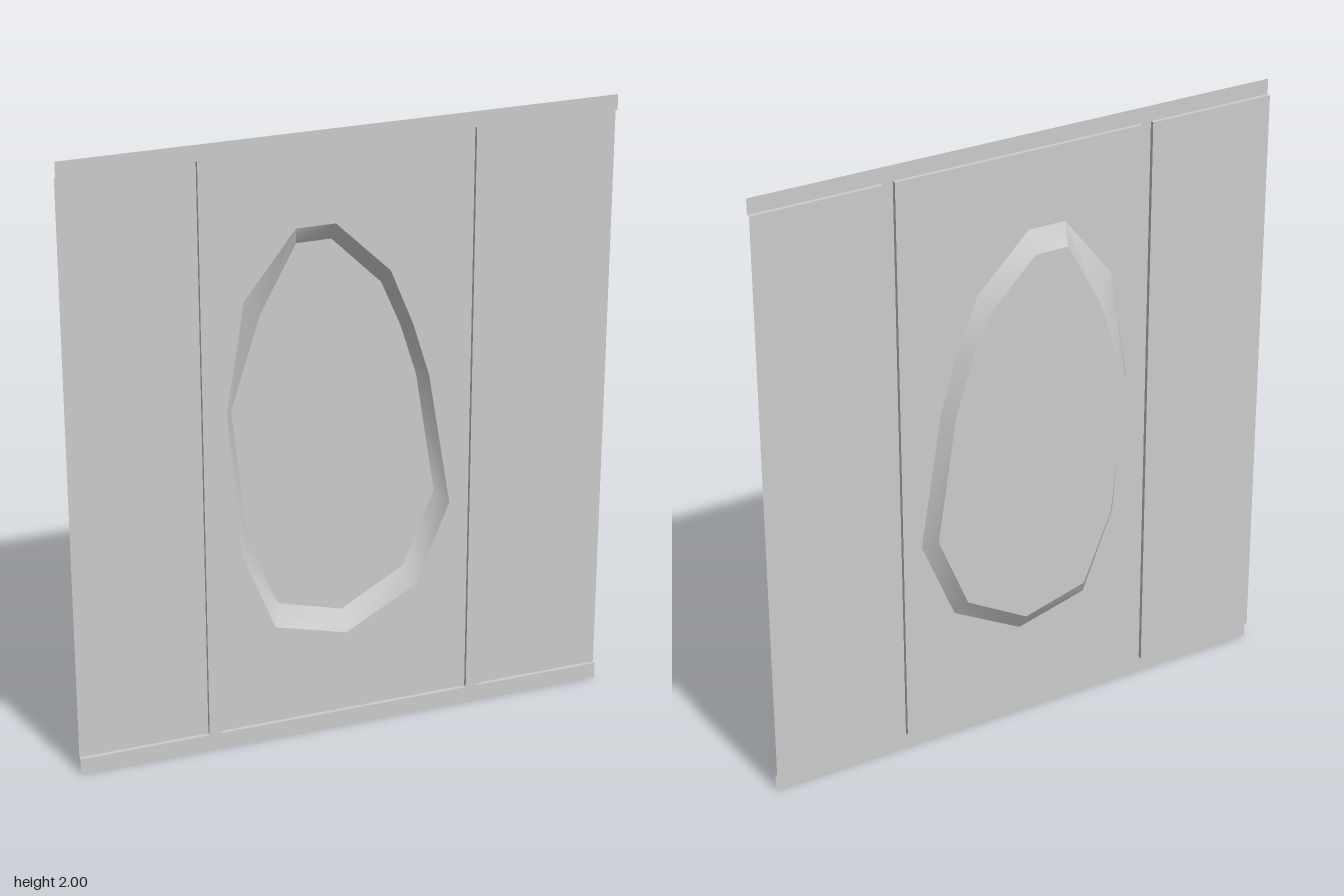
import * as THREE from 'three';
import { toCreasedNormals } from 'three/addons/utils/BufferGeometryUtils.js';

const W = 0.872, H = 2, SIDE_IN = 0.453, MID = 0.415, Y0 = 0.052, Y1 = 1.95;
const Z_FRAME = 0.028, Z_PANEL = 0.015, Z_DENT = -0.028;

const material = new THREE.MeshStandardMaterial({ color: 0xcccccc, side: THREE.DoubleSide });

// Irregular outline of the dent: rim on the panel, and the smaller floor (same corner order)
const RIM = [[-0.15, 1.7], [-0.025, 1.7], [0.15, 1.527], [0.225, 1.34], [0.278, 1.167], [0.352, 0.721],
  [0.241, 0.451], [0.008, 0.324], [-0.226, 0.387], [-0.331, 0.652], [-0.373, 1.135], [-0.315, 1.49]];
const FLOOR = [[-0.135, 1.637], [-0.024, 1.637], [0.136, 1.476], [0.2, 1.325], [0.252, 1.158], [0.316, 0.751],
  [0.216, 0.505], [0.008, 0.387], [-0.203, 0.446], [-0.3, 0.68], [-0.346, 1.125], [-0.252, 1.42]];

const points = (list) => list.map(([x, y]) => new THREE.Vector2(x, y));
const rect = (x0, x1, y0, y1) => [[x0, y0], [x1, y0], [x1, y1], [x0, y1]];

// Flat sheet facing +z with optional holes
function sheet(outline, z, holes = []) {
  const shape = new THREE.Shape(points(outline));
  holes.forEach((h) => shape.holes.push(new THREE.Path(points(h))));
  return new THREE.ShapeGeometry(shape).translate(0, 0, z);
}

// Band joining two outlines at two depths; outlines run clockwise seen from the front
function band(front, zFront, back, zBack, closed, crease = 0.1) {
  const pos = [];
  const count = front.length - (closed ? 0 : 1);
  for (let i = 0; i < count; i++) {
    const j = (i + 1) % front.length;
    const a = [...front[i], zFront], b = [...front[j], zFront];
    const c = [...back[j], zBack], d = [...back[i], zBack];
    pos.push(...a, ...d, ...b, ...b, ...d, ...c);
  }
  const geo = new THREE.BufferGeometry();
  geo.setAttribute('position', new THREE.Float32BufferAttribute(pos, 3));
  return toCreasedNormals(geo, crease);
}

export function createModel() {
  const model = new THREE.Group();
  const add = (name, geometry) => {
    const mesh = new THREE.Mesh(geometry, material);
    mesh.name = name;
    model.add(mesh);
  };

  // Raised frame: rails across the top and bottom, ribs between the panels
  add('bottomRail', sheet(rect(-W, W, 0, Y0), Z_FRAME));
  add('topRail', sheet(rect(-W, W, Y1, H), Z_FRAME));
  add('rightRib', sheet(rect(-SIDE_IN, -MID, Y0, Y1), Z_FRAME));
  add('leftRib', sheet(rect(MID, SIDE_IN, Y0, Y1), Z_FRAME));

  // Side panels, pressed back from the frame and open at the outer edge
  add('rightPanel', sheet(rect(-W, -SIDE_IN, Y0, Y1), Z_PANEL));
  add('leftPanel', sheet(rect(SIDE_IN, W, Y0, Y1), Z_PANEL));
  const rightStep = [[-W, Y1], [-SIDE_IN, Y1], [-SIDE_IN, Y0], [-W, Y0]];
  const leftStep = [[W, Y0], [SIDE_IN, Y0], [SIDE_IN, Y1], [W, Y1]];
  add('rightPanelStep', band(rightStep, Z_FRAME, rightStep, Z_PANEL, false));
  add('leftPanelStep', band(leftStep, Z_FRAME, leftStep, Z_PANEL, false));

  // Middle panel with an opening for the dent
  const middle = rect(-MID, MID, Y0, Y1);
  const middleStep = [...middle].reverse();
  add('middlePanel', sheet(middle, Z_PANEL, [RIM]));
  add('middlePanelStep', band(middleStep, Z_FRAME, middleStep, Z_PANEL, true));

  // Faceted dent pushed towards the back
  add('dentWall', band(RIM, Z_PANEL, FLOOR, Z_DENT, true, 0.6));
  add('dentFloor', sheet(FLOOR, Z_DENT));

  return model;
}
